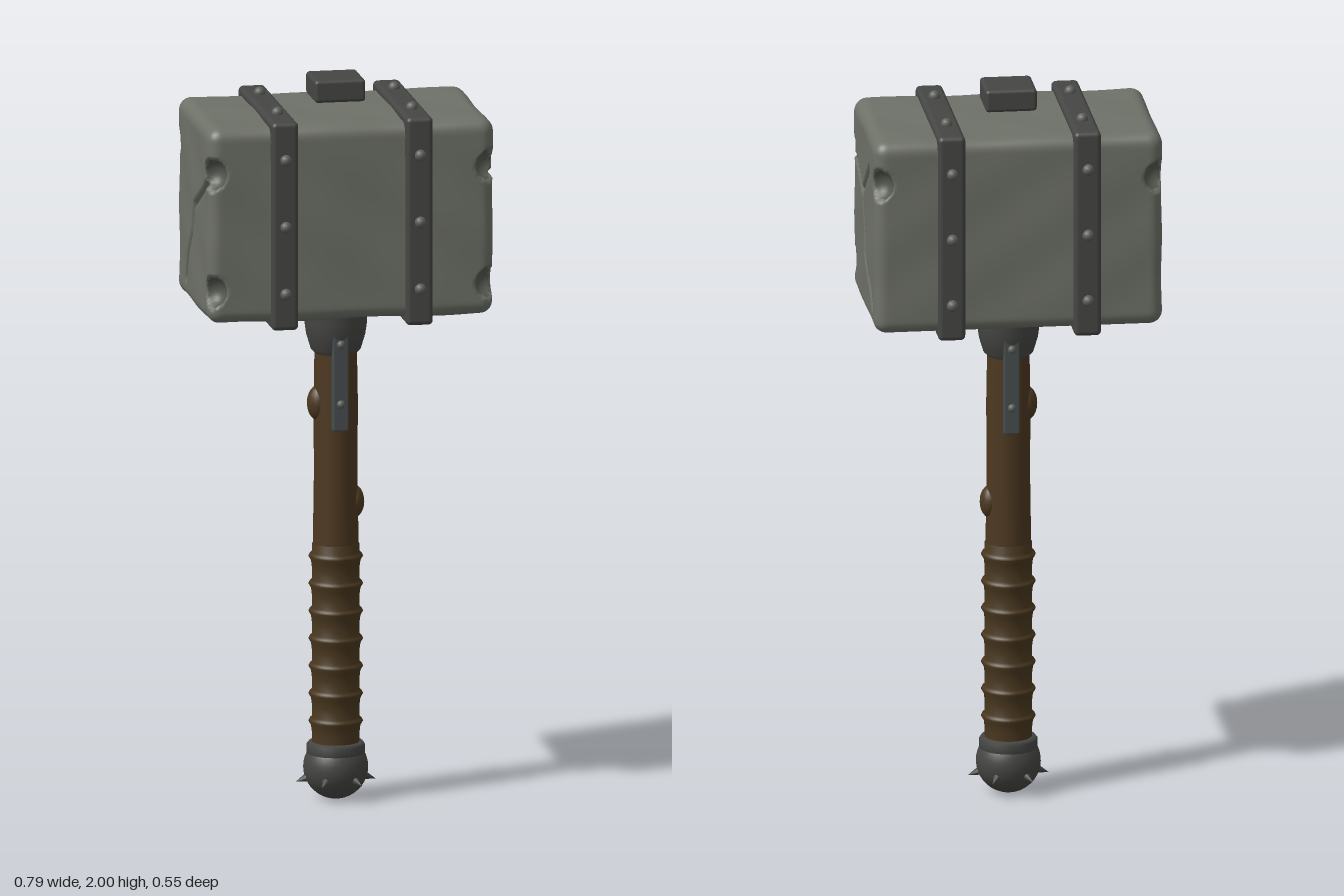
import * as THREE from 'three';
import { mergeVertices } from 'three/addons/utils/BufferGeometryUtils.js';
import { RoundedBoxGeometry } from 'three/addons/geometries/RoundedBoxGeometry.js';

const mat = (name, color) => new THREE.MeshStandardMaterial({ name, color });
const M = {
  stone: mat('stone', 0x6e7168),
  chip: mat('chipped stone', 0x555850),
  iron: mat('dark iron', 0x464744),
  rivet: mat('rivet iron', 0x5c5f5a),
  steel: mat('langet steel', 0x484e50),
  wood: mat('wood', 0x4d3820),
  leather: mat('leather', 0x4a381f),
};

function add(parent, name, geometry, material, x = 0, y = 0, z = 0) {
  const mesh = new THREE.Mesh(geometry, material);
  mesh.name = name;
  mesh.position.set(x, y, z);
  parent.add(mesh);
  return mesh;
}

const lathe = (points, segments = 32) =>
  new THREE.LatheGeometry(points.map(p => new THREE.Vector2(p[0], p[1])), segments);

// Distance from a point to a segment, all in (z, y)
function segmentDistance(z, y, a, b) {
  const dz = b[0] - a[0], dy = b[1] - a[1];
  const t = THREE.MathUtils.clamp(((z - a[0]) * dz + (y - a[1]) * dy) / (dz * dz + dy * dy), 0, 1);
  return Math.hypot(z - a[0] - t * dz, y - a[1] - t * dy);
}

// Rounded stone block with chipped edges and cracked striking faces
function stoneHead() {
  const half = new THREE.Vector3(0.393, 0.27, 0.234), midY = 1.64, r = 0.035;
  let g = new THREE.BoxGeometry(half.x * 2, half.y * 2, half.z * 2, 100, 68, 60);
  g.deleteAttribute('uv');
  g.deleteAttribute('normal');
  g.clearGroups();
  g = mergeVertices(g);

  const chips = [];
  for (const s of [-1, 1])
    for (const [y, z] of [[1.785, 1], [1.46, 1], [1.79, -1]])
      chips.push({ c: new THREE.Vector3(s * 0.385, y, z * 0.226), d: new THREE.Vector3(-s, 0, -z).normalize() });
  const cracks = {
    1: [[[0.19, 1.755], [0.03, 1.70]], [[0.03, 1.70], [-0.12, 1.81]],
      [[0.03, 1.70], [-0.025, 1.555]], [[-0.025, 1.555], [-0.165, 1.43]]],
    '-1': [[[0.2, 1.76], [0.02, 1.66]], [[0.02, 1.66], [-0.02, 1.57]], [[-0.02, 1.57], [-0.11, 1.43]]],
  };

  const pos = g.attributes.position, v = new THREE.Vector3(), inner = new THREE.Vector3();
  const limit = half.clone().subScalar(r), chipped = new Set();
  for (let i = 0; i < pos.count; i++) {
    v.fromBufferAttribute(pos, i);
    inner.copy(v).clamp(limit.clone().negate(), limit);
    const n = v.sub(inner).normalize().clone();
    // gentle hewn unevenness
    const wave = 0.0025 * Math.sin(inner.x * 17 + inner.y * 11) * Math.sin(inner.z * 19 + inner.y * 15 + 1);
    v.copy(inner).addScaledVector(n, r + wave);
    v.y += midY;
    if (Math.abs(n.x) > 0.9) {
      const side = Math.sign(n.x);
      const dist = Math.min(...cracks[side].map(([a, b]) => segmentDistance(v.z, v.y, a, b)));
      v.x -= side * 0.016 * Math.max(0, 1 - dist / 0.013);
    }
    for (const { c, d } of chips) {
      const q = v.clone().sub(c), R = 0.044;
      if (q.length() >= R) continue;
      const b = q.dot(d);
      v.addScaledVector(d, -b + Math.sqrt(b * b - q.lengthSq() + R * R));
      chipped.add(i);
    }
    pos.setXYZ(i, v.x, v.y, v.z);
  }

  // split faces into plain and chipped stone
  const plain = [], cut = [], idx = g.index.array;
  for (let i = 0; i < idx.length; i += 3) {
    const f = [idx[i], idx[i + 1], idx[i + 2]];
    (f.every(k => chipped.has(k)) ? cut : plain).push(...f);
  }
  g.setIndex(plain.concat(cut));
  g.addGroup(0, plain.length, 0);
  g.addGroup(plain.length, cut.length, 1);
  g.computeVertexNormals();
  return g;
}

export function createModel() {
  const model = new THREE.Group();
  model.name = 'warHammer';

  const head = new THREE.Group();
  head.name = 'head';
  model.add(head);
  add(head, 'stoneBlock', stoneHead(), [M.stone, M.chip]);
  add(head, 'topCap', new RoundedBoxGeometry(0.14, 0.062, 0.14, 3, 0.01), M.iron, 0, 1.969, 0);

  // Iron bands with rivets
  const stud = new THREE.SphereGeometry(0.016, 14, 10);
  for (const x of [-0.185, 0.185]) {
    add(head, 'band', new RoundedBoxGeometry(0.074, 0.575, 0.506, 3, 0.013), M.iron, x, 1.64, 0);
    for (const z of [-1, 1]) {
      for (const y of [1.455, 1.64, 1.825]) add(head, 'bandRivet', stud, M.rivet, x, y, z * 0.26);
      add(head, 'topRivet', stud, M.rivet, x, 1.931, z * 0.13);
    }
  }

  const handle = new THREE.Group();
  handle.name = 'handle';
  model.add(handle);
  add(handle, 'collar', lathe([[0.058, 1.235], [0.068, 1.245], [0.08, 1.285], [0.085, 1.32], [0.086, 1.38]]), M.iron);
  add(handle, 'shaft', lathe([[0.062, 0.14], [0.062, 0.7], [0.059, 0.9], [0.06, 1.1], [0.057, 1.27]]), M.wood);

  // Wood knots
  const knot = new THREE.SphereGeometry(1, 18, 12);
  add(handle, 'upperKnot', knot, M.wood, -0.045, 1.095, 0).scale.set(0.034, 0.05, 0.036);
  add(handle, 'lowerKnot', knot, M.wood, 0.05, 0.82, 0).scale.set(0.028, 0.045, 0.036);

  // Leather wrap with raised turns
  const wrap = [[0.064, 0.14]];
  for (let i = 0; i < 7; i++) {
    const y = 0.215 + i * 0.076;
    wrap.push([0.064, y - 0.035], [0.067, y - 0.012], [0.074, y], [0.071, y + 0.006], [0.064, y + 0.012]);
  }
  wrap.push([0.064, 0.705], [0.058, 0.71]);
  add(handle, 'gripWrap', lathe(wrap), M.leather);

  // Langets running down the shaft
  for (const s of [-1, 1]) {
    add(handle, 'langet', new RoundedBoxGeometry(0.044, 0.27, 0.03, 2, 0.005), M.steel, 0, 1.165, s * 0.064);
    for (const y of [1.105, 1.27]) add(handle, 'langetRivet', new THREE.SphereGeometry(0.012, 12, 8), M.rivet, 0, y, s * 0.078);
  }

  // Spiked pommel
  const pommel = new THREE.Group();
  pommel.name = 'pommel';
  model.add(pommel);
  add(pommel, 'pommelBall', new THREE.SphereGeometry(0.088, 32, 20), M.iron, 0, 0.088, 0);
  add(pommel, 'pommelRim', lathe([[0.07, 0.115], [0.079, 0.125], [0.079, 0.15], [0.073, 0.158], [0.058, 0.158]]), M.iron);
  for (let i = 0; i < 6; i++) {
    const a = i * Math.PI / 3;
    const dir = new THREE.Vector3(Math.cos(a), -0.35, Math.sin(a)).normalize();
    const spike = add(pommel, 'spike', new THREE.ConeGeometry(0.016, 0.045, 10), M.iron);
    spike.position.set(0, 0.088, 0).addScaledVector(dir, 0.094);
    spike.quaternion.setFromUnitVectors(new THREE.Vector3(0, 1, 0), dir);
  }
  return model;
}
